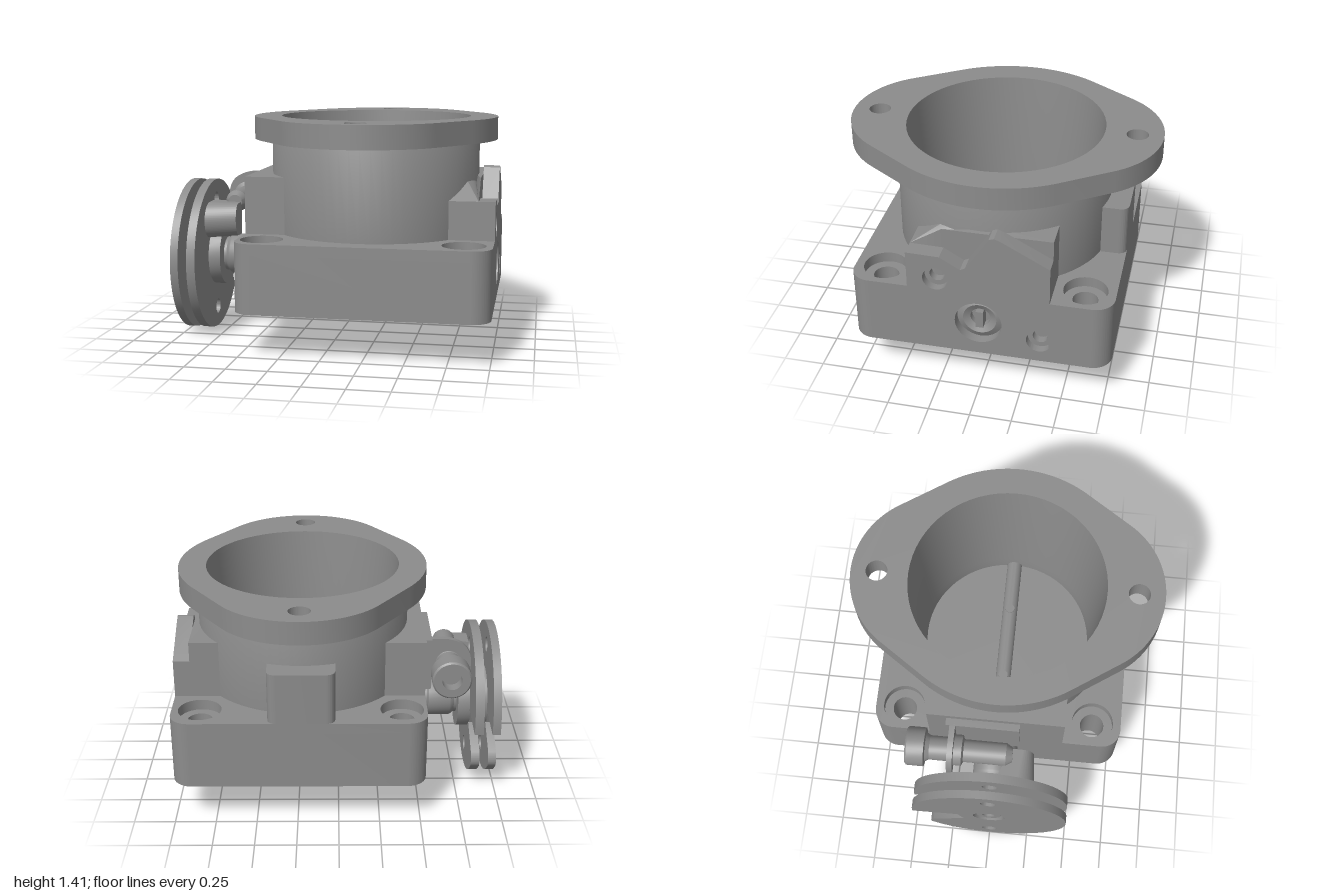
import * as THREE from 'three';
import { toCreasedNormals } from 'three/addons/utils/BufferGeometryUtils.js';

const metal = new THREE.MeshStandardMaterial({ color: 0x8c8c8c });
metal.name = 'castMetal';
const CX = 0.22; // bore axis
const rad = THREE.MathUtils.degToRad;

export function createModel() {
  const root = new THREE.Group();
  root.name = 'throttleBody';

  const add = (name, geo, x = 0, y = 0, z = 0) => {
    const m = new THREE.Mesh(geo, metal);
    m.name = name;
    m.position.set(x, y, z);
    root.add(m);
    return m;
  };
  const hole = (shape, x, y, r) => {
    const p = new THREE.Path();
    p.absarc(x, y, r, 0, Math.PI * 2, true);
    shape.holes.push(p);
  };
  const poly = pts => new THREE.Shape(pts.map(p => new THREE.Vector2(...p)));
  const extrude = (shape, depth) =>
    new THREE.ExtrudeGeometry(shape, { depth, bevelEnabled: false, curveSegments: 32 });
  // Shape in (x, -z), raised from y0 to y1
  const extY = (shape, y0, y1) =>
    toCreasedNormals(extrude(shape, y1 - y0).rotateX(-Math.PI / 2).translate(0, y0, 0), 0.5);
  // Shape in (-z, y), running from x0 to x1
  const extX = (shape, x0, x1) =>
    toCreasedNormals(extrude(shape, x1 - x0).rotateY(Math.PI / 2).translate(x0, 0, 0), 0.5);
  // Turned part along x or z, profile as [radius, position]
  const turned = (name, pts, axis, x, y, z, seg = 32) => {
    const g = new THREE.LatheGeometry(pts.map(p => new THREE.Vector2(...p)), seg);
    if (axis === 'x') g.rotateZ(-Math.PI / 2);
    if (axis === 'z') g.rotateX(Math.PI / 2);
    return add(name, toCreasedNormals(g, 0.5), x, y, z);
  };
  const rod = (name, r, x0, x1, y, z, r1 = r) =>
    turned(name, [[0, x0], [r, x0], [r1, x1], [0, x1]], 'x', 0, y, z);

  // Square base with mounting holes, notched where the side plate sits
  const base = (cornerRadius) => {
    const s = new THREE.Shape();
    const c = 0.12;
    s.moveTo(-0.53 + c, -0.78);
    s.lineTo(1 - c, -0.78);
    s.absarc(1 - c, -0.78 + c, c, -Math.PI / 2, 0);
    s.lineTo(1, -0.42); s.lineTo(0.9, -0.42); s.lineTo(0.9, 0.42); s.lineTo(1, 0.42);
    s.absarc(1 - c, 0.78 - c, c, 0, Math.PI / 2);
    s.absarc(-0.53 + c, 0.78 - c, c, Math.PI / 2, Math.PI);
    s.absarc(-0.53 + c, -0.78 + c, c, Math.PI, Math.PI * 1.5);
    hole(s, CX, 0, 0.6);
    for (const x of [-0.38, 0.83]) for (const z of [-0.6, 0.6]) hole(s, x, z, cornerRadius);
    return s;
  };
  add('base', extY(base(0.075), 0.28, 0.64));
  add('baseCounterbores', extY(base(0.13), 0.64, 0.705));

  // Neck with tapered bore
  turned('neck', [[0.62, 0.28], [0.655, 0.65], [0.655, 1.29], [0.6, 1.42], [0.595, 1.42],
    [0.54, 0.6], [0.54, 0.42], [0.555, 0.28], [0.62, 0.28]], 'y', CX, 0, 0, 64);

  // Top flange: large circle blended into two bolt ears
  const flange = new THREE.Shape();
  const t = rad(34.2);
  flange.absarc(CX, 0, 0.765, -t, t);
  flange.absarc(CX, 0.4, 0.54, t, Math.PI - t);
  flange.absarc(CX, 0, 0.765, Math.PI - t, Math.PI + t);
  flange.absarc(CX, -0.4, 0.54, Math.PI + t, 2 * Math.PI - t);
  hole(flange, CX, 0, 0.595);
  for (const z of [-0.785, 0.785]) hole(flange, CX, z, 0.065);
  add('topFlange', extY(flange, 1.28, 1.42));

  // Side bosses that hug the neck
  const a = Math.asin(0.42 / 0.63);
  const leftBoss = poly([[-0.53, 0.42], [-0.53, -0.42]]);
  leftBoss.absarc(CX, 0, 0.63, Math.PI + a, Math.PI - a, true);
  add('pulleySideBoss', extY(leftBoss, 0.7, 1.06));
  const rightBoss = poly([[0.9, -0.42], [0.9, -0.23], [0.9, 0.42]]);
  rightBoss.absarc(CX, 0, 0.63, a, -a, true);
  const bossGeo = extrude(rightBoss, 0.36).rotateX(-Math.PI / 2).translate(0, 0.7, 0);
  const bp = bossGeo.attributes.position;
  for (let i = 0; i < bp.count; i++)
    if (bp.getY(i) > 1) bp.setY(i, Math.min(1.06, 0.94 + (0.42 - bp.getZ(i)) * 0.63));
  add('sensorSideBoss', toCreasedNormals(bossGeo, 0.3));

  // Side plate with shaft bore and two screw holes
  const plate = poly([[-0.42, 0.28], [0.42, 0.28], [0.42, 0.94], [0.14, 1.09], [0.1, 1.105],
    [0.07, 1.095], [-0.07, 0.88], [-0.1, 0.865], [-0.22, 0.935], [-0.42, 0.94]]);
  hole(plate, 0, 0.5, 0.14);
  hole(plate, -0.25, 0.78, 0.075);
  hole(plate, 0.36, 0.425, 0.075);
  add('sidePlate', extX(plate, 0.9, 1));
  for (const [y, z] of [[0.78, 0.25], [0.425, -0.36]])
    turned('screwSocket', [[0.045, 0.9], [0.045, 0.95], [0.076, 0.95], [0.076, 0.9]].reverse(), 'x', 0, y, z);
  turned('shaftBearing', [[0.06, 0.9], [0.14, 0.9], [0.14, 0.94], [0.1, 0.96], [0.06, 0.94], [0.06, 0.9]], 'x', 0, 0.5, 0);
  add('shaftTang', new THREE.BoxGeometry(0.08, 0.11, 0.045), 0.93, 0.5, 0);

  // Pad at the back of the neck
  const pad = poly([[0.02, 0.62], [0.42, 0.62], [0.42, 0.72]]);
  pad.quadraticCurveTo(0.42, 0.78, 0.36, 0.78);
  pad.lineTo(0.08, 0.78);
  pad.quadraticCurveTo(0.02, 0.78, 0.02, 0.72);
  add('rearPad', extY(pad, 0.7, 1.02));

  // Butterfly valve on its shaft
  add('butterfly', new THREE.CylinderGeometry(0.535, 0.535, 0.02, 64), CX, 0.5, 0);
  rod('valveShaft', 0.05, -0.34, 0.78, 0.5, 0);
  for (const x of [-0.06, 0.415])
    add('valveScrew', new THREE.CylinderGeometry(0.03, 0.03, 0.11, 20), x, 0.5, 0);

  // Cable pulley: two notched discs with a groove between
  const disc = (centreHole) => {
    const s = new THREE.Shape();
    s.absarc(0, 0.5, 0.49, rad(-4), rad(317));
    s.quadraticCurveTo(0.41, 0.205, 0.36, 0.275);
    s.lineTo(0.162, 0.38);
    s.lineTo(0.2, 0.486);
    for (const y of [0.14, 0.86]) hole(s, 0, y, 0.048);
    if (centreHole) hole(s, 0, 0.5, 0.1);
    return s;
  };
  add('pulleyOuterDisc', extX(disc(true), -1, -0.95));
  add('pulleyInnerDisc', extX(disc(false), -0.895, -0.84));
  rod('pulleyGroove', 0.2, -0.955, -0.89, 0.5, 0);
  turned('pulleyNut', [[0, -0.965], [0.04, -0.965], [0.04, -0.99], [0.075, -0.99], [0.085, -0.95]], 'x', 0, 0.5, 0);
  rod('pulleyHub', 0.2, -0.845, -0.765, 0.5, 0);
  rod('shaftSpacer', 0.11, -0.77, -0.52, 0.5, 0);
  turned('shaftCollar', [[0.1, -0.76], [0.125, -0.73], [0.13, -0.72], [0.13, -0.58], [0.1, -0.575]], 'x', 0, 0.5, 0);
  rod('shaftSeal', 0.14, -0.56, -0.52, 0.5, 0);

  // Stop lug on the pulley, tapering towards the body
  const lug = poly([[-0.03, 0.86], [-0.16, 0.86]]);
  lug.absarc(-0.155, 0.745, 0.115, Math.PI / 2, Math.PI * 1.5);
  lug.lineTo(-0.03, 0.63);
  const lugGeo = extrude(lug, 0.2).rotateY(Math.PI / 2).translate(-0.84, 0, 0);
  const lp = lugGeo.attributes.position;
  for (let i = 0; i < lp.count; i++) {
    if (lp.getX(i) < -0.7) continue;
    lp.setZ(i, 0.25 + (lp.getZ(i) - 0.27) * 0.6);
    lp.setY(i, 0.86 + (lp.getY(i) - 0.86) * 0.9);
  }
  add('stopLug', toCreasedNormals(lugGeo, 0.5));

  // Stop screw bracket
  add('bracketBase', new THREE.BoxGeometry(0.05, 0.33, 0.45), -0.55, 0.855, -0.075);
  const ear = poly([[-0.53, 0.79], [-0.53, 1.02], [-0.66, 1.02]]);
  ear.quadraticCurveTo(-0.82, 1.0, -0.82, 0.86);
  ear.lineTo(-0.82, 0.79);
  add('bracketEar', toCreasedNormals(extrude(ear, 0.035), 0.5), 0, 0, -0.275);

  // Stop screw with socket head
  turned('stopScrew', [[0, -0.46], [0.06, -0.46], [0.06, -0.535], [0.11, -0.535], [0.12, -0.525],
    [0.12, -0.42], [0.09, -0.415], [0.075, -0.39], [0.075, -0.28], [0.095, -0.25], [0.095, -0.19],
    [0.07, -0.18], [0.07, 0.08], [0.045, 0.12], [0, 0.12]], 'z', -0.68, 0.86, 0);

  return root;
}
